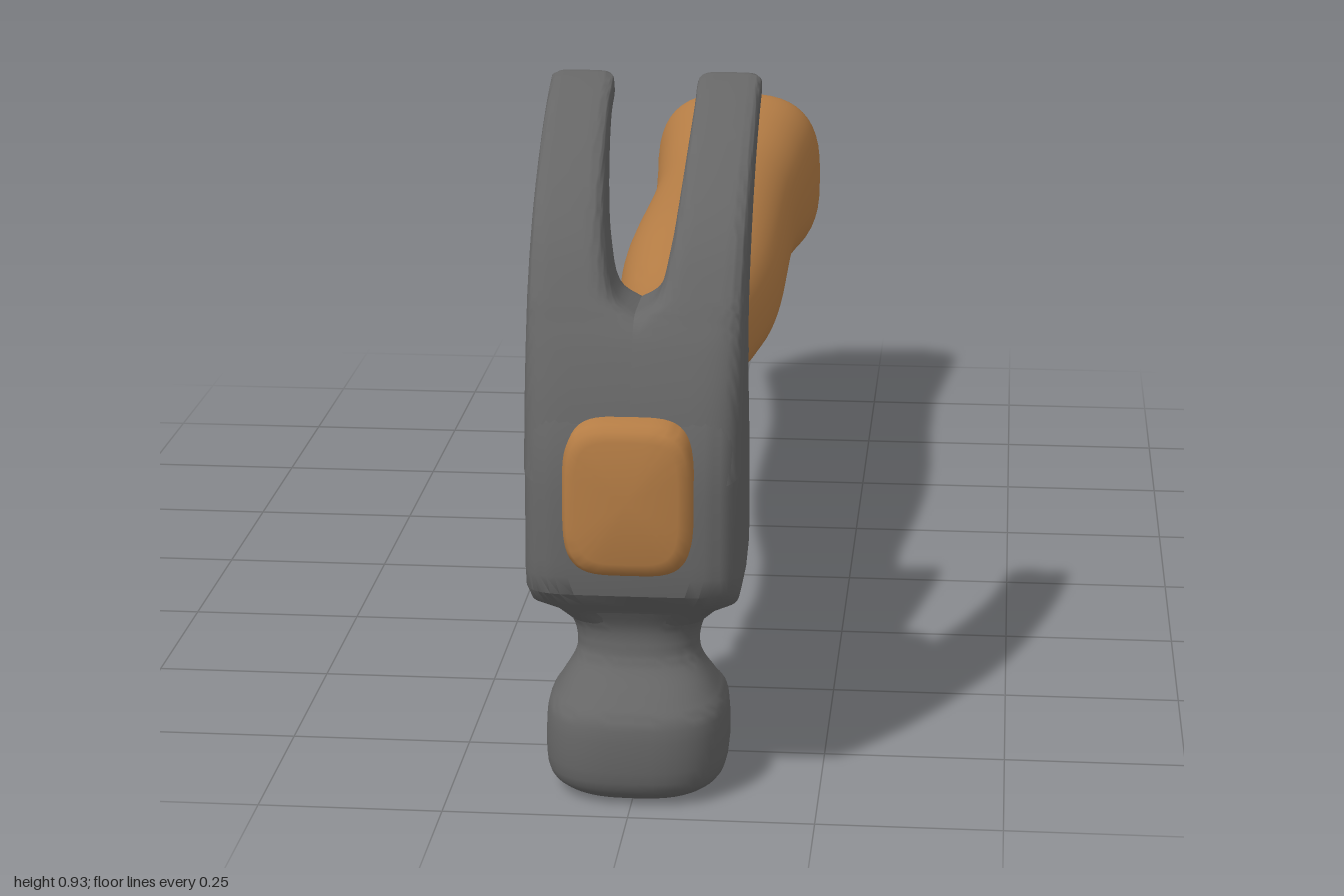
import * as THREE from 'three';
import { toCreasedNormals } from 'three/addons/utils/BufferGeometryUtils.js';

const SEG = 48;

// Superellipse outline: n = 2 is round, larger n is squarer. Returns [u, v] in -1..1.
function outline(n) {
  const pw = (t) => Math.sign(t) * Math.pow(Math.abs(t), 2 / n);
  return Array.from({ length: SEG }, (_, i) => {
    const a = (i / SEG) * Math.PI * 2;
    return [pw(Math.cos(a)), pw(Math.sin(a))];
  });
}

// Smoothly resample rows of numbers.
function smooth(rows, sub) {
  const out = [];
  for (let i = 0; i < rows.length - 1; i++) {
    const [a, b, c, d] = [-1, 0, 1, 2].map((k) => rows[Math.min(Math.max(i + k, 0), rows.length - 1)]);
    for (let s = 0; s < sub; s++) {
      const t = s / sub;
      out.push(b.map((_, j) => b[j] + 0.5 * t * (c[j] - a[j]
        + t * (2 * a[j] - 5 * b[j] + 4 * c[j] - d[j] + t * (3 * (b[j] - c[j]) + d[j] - a[j])))));
    }
  }
  out.push(rows[rows.length - 1]);
  return out;
}

// Skin a list of rings and close both ends; faces are turned outward by signed volume.
function loft(rings, crease = 0.7) {
  const pts = rings.flat();
  const idx = [];
  for (let r = 0; r < rings.length - 1; r++) {
    for (let i = 0; i < SEG; i++) {
      const a = r * SEG + i, b = r * SEG + (i + 1) % SEG;
      idx.push(a, b, b + SEG, a, b + SEG, a + SEG);
    }
  }
  [0, rings.length - 1].forEach((r, end) => {
    const mid = rings[r].reduce((m, p) => m.add(p), new THREE.Vector3()).divideScalar(SEG);
    const c = pts.push(mid) - 1;
    for (let i = 0; i < SEG; i++) {
      const a = r * SEG + i, b = r * SEG + (i + 1) % SEG;
      if (end) idx.push(a, b, c); else idx.push(b, a, c);
    }
  });
  let volume = 0;
  for (let i = 0; i < idx.length; i += 3) {
    volume += pts[idx[i]].dot(new THREE.Vector3().crossVectors(pts[idx[i + 1]], pts[idx[i + 2]]));
  }
  if (volume < 0) idx.reverse();
  const g = new THREE.BufferGeometry().setFromPoints(pts);
  g.setIndex(idx);
  return toCreasedNormals(g, crease);
}

// Rings along z from rows of [z, half width, bottom y, top y, squareness]
const alongZ = (rows) => rows.map(([z, w, y0, y1, n]) => outline(n).map(([u, v]) =>
  new THREE.Vector3(u * w, (y0 + y1) / 2 + v * (y1 - y0) / 2, z)));

// Rings along y from rows of [y, half width, back z, front z, squareness]; the rear tapers in
const alongY = (rows) => rows.map(([y, w, z0, z1, n]) => outline(n).map(([u, v]) => {
  const z = (z0 + z1) / 2 + v * (z1 - z0) / 2;
  const taper = 1 - 0.3 * THREE.MathUtils.clamp((0.785 - z) / 0.185, 0, 1);
  return new THREE.Vector3(u * w * (y > 0.26 ? taper : 1), y, z);
}));

export function createModel() {
  const steel = new THREE.MeshStandardMaterial({ color: 0x666666 });
  steel.name = 'steel';
  const wood = new THREE.MeshStandardMaterial({ color: 0xb57d45 });
  wood.name = 'wood';

  const model = new THREE.Group();
  model.name = 'clawHammer';
  const add = (name, geometry, material) => {
    const mesh = new THREE.Mesh(geometry, material);
    mesh.name = name;
    model.add(mesh);
    return mesh;
  };

  // Striking face and neck
  add('strikingFace', loft(alongY(smooth([
    [0, 0.08, 0.765, 0.925, 2.6],
    [0.008, 0.102, 0.74, 0.95, 2.7],
    [0.035, 0.122, 0.72, 0.97, 2.8],
    [0.11, 0.122, 0.717, 0.97, 2.8],
    [0.14, 0.108, 0.74, 0.95, 2.6],
    [0.175, 0.088, 0.775, 0.91, 2.4],
    [0.2, 0.083, 0.78, 0.9, 2.4],
    [0.23, 0.09, 0.78, 0.9, 2.6],
    [0.26, 0.11, 0.77, 0.915, 3],
  ], 4)), 1), steel);

  // Head body around the handle socket
  add('headBody', loft(alongY([
    [0.235, 0.092, 0.785, 0.9, 3],
    [0.255, 0.112, 0.775, 0.91, 4],
    [0.275, 0.14, 0.75, 0.94, 5],
    [0.3, 0.145, 0.69, 0.967, 6],
    [0.325, 0.146, 0.615, 0.97, 7],
    [0.345, 0.146, 0.6, 0.97, 7],
    [0.44, 0.146, 0.6, 0.97, 7],
    [0.5, 0.146, 0.6, 0.96, 7],
    [0.54, 0.146, 0.602, 0.947, 7],
    [0.557, 0.145, 0.62, 0.94, 7],
    [0.567, 0.145, 0.69, 0.937, 7],
    [0.59, 0.145, 0.745, 0.928, 7],
    [0.62, 0.144, 0.765, 0.915, 7],
  ])), steel);

  // Two claw prongs: [front z, front y, back z, back y, inner x]; they merge below the slot
  const clawRows = smooth([
    [0.968, 0.45, 0.74, 0.5, -0.1],
    [0.945, 0.55, 0.755, 0.58, -0.1],
    [0.92, 0.62, 0.768, 0.63, -0.08],
    [0.9, 0.66, 0.766, 0.66, -0.01],
    [0.887, 0.685, 0.762, 0.685, 0.028],
    [0.85, 0.745, 0.735, 0.735, 0.043],
    [0.8, 0.8, 0.7, 0.785, 0.05],
    [0.73, 0.855, 0.65, 0.838, 0.055],
    [0.65, 0.903, 0.605, 0.872, 0.058],
    [0.59, 0.927, 0.572, 0.893, 0.058],
    [0.572, 0.93, 0.562, 0.9, 0.064],
  ], 4);
  for (const [side, name] of [[1, 'leftClaw'], [-1, 'rightClaw']]) {
    const rings = clawRows.map(([fz, fy, bz, by, s], i) => outline(5).map(([u, v]) => {
      const outer = i > clawRows.length - 4 ? 0.141 : 0.146;
      const t = (1 + v) / 2;
      return new THREE.Vector3(side * ((s + outer) / 2 + u * (outer - s) / 2),
        by + (fy - by) * t, bz + (fz - bz) * t);
    }));
    add(name, loft(rings), steel);
  }

  // Collar between head and handle
  add('collar', loft(alongZ([
    [0.63, 0.108, 0.335, 0.552, 2.8],
    [0.55, 0.108, 0.337, 0.55, 2.6],
    [0.535, 0.102, 0.344, 0.543, 2.5],
  ])), steel);

  // Rivets above and below the socket
  for (const [name, y, tilt] of [['topRivet', 0.572, 0.06], ['bottomRivet', 0.312, Math.PI - 0.12]]) {
    const profile = [[0, -0.03], [0.04, -0.03], [0.041, 0.01], [0.036, 0.02], [0.02, 0.025], [0, 0.026]];
    const rivet = add(name, toCreasedNormals(
      new THREE.LatheGeometry(profile.map((p) => new THREE.Vector2(...p)), 24), 0.6), steel);
    rivet.position.set(0, y, 0.68);
    rivet.rotation.x = tilt;
  }

  // Handle, swelling toward the grip end
  add('handle', loft(alongZ(smooth([
    [0.56, 0.085, 0.36, 0.525, 2.4],
    [0.525, 0.1, 0.347, 0.538, 2.4],
    [0.48, 0.104, 0.338, 0.545, 2.4],
    [0.36, 0.092, 0.344, 0.535, 2.4],
    [0.18, 0.097, 0.345, 0.53, 2.4],
    [0, 0.117, 0.328, 0.545, 2.4],
    [-0.2, 0.128, 0.31, 0.56, 2.4],
    [-0.6, 0.124, 0.31, 0.56, 2.4],
    [-0.8, 0.135, 0.296, 0.578, 2.6],
    [-0.93, 0.146, 0.285, 0.592, 2.8],
    [-0.965, 0.145, 0.29, 0.583, 2.8],
    [-0.99, 0.125, 0.315, 0.555, 2.7],
    [-1, 0.085, 0.36, 0.51, 2.5],
  ], 4)), 0.9), wood);

  // Handle end showing through the front of the head
  add('handleFrontEnd', loft(alongZ([
    [0.9, 0.086, 0.335, 0.542, 4],
    [0.985, 0.086, 0.335, 0.542, 4],
    [0.996, 0.08, 0.342, 0.535, 4],
    [1, 0.068, 0.355, 0.522, 4],
  ]), 0.9), wood);

  return model;
}
